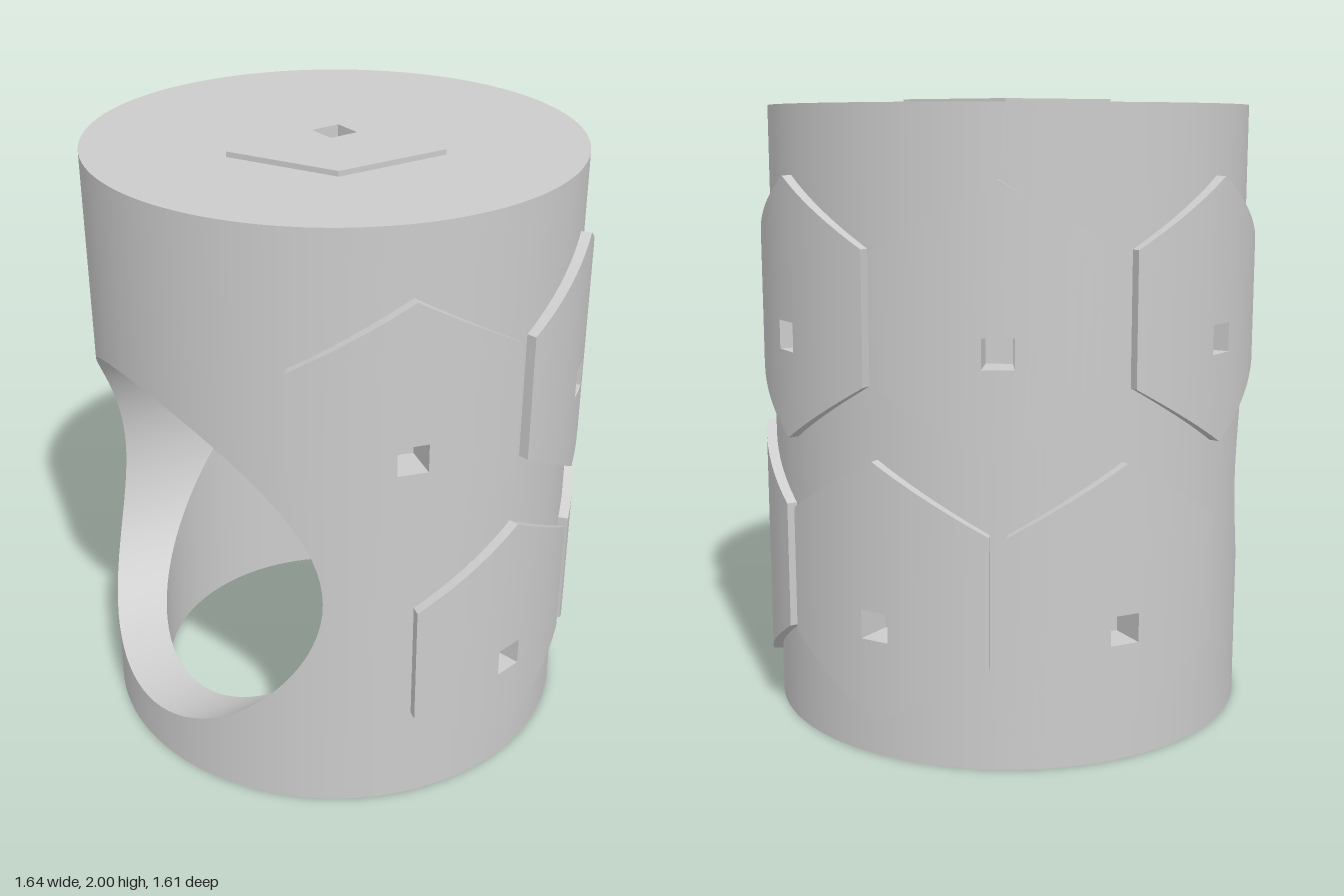
import * as THREE from 'three';
import { toCreasedNormals } from 'three/addons/utils/BufferGeometryUtils.js';

const RO = 0.787, RI = 0.615, RT = 0.82, FLOOR = 0.7; // body, bore, tile face, pocket floor
const H = 1.983, CEIL = 1.81;                         // body height, bore ceiling
const DOOR_R = 0.615, DOOR_Y = 0.775, DOOR_SEGS = 96;
const HEX = 0.407, SQ = 0.046;                        // tile circumradius, pocket half size
const rad = THREE.MathUtils.degToRad;
const HALF = HEX * Math.cos(Math.PI / 6) / RO, SQ_A = SQ / RO;

// Tiles: angle round the body from the front, centre height, pocket height
const tiles = [
  ...[70, 125, 180, 235, 290].map(d => ({ a: rad(d), y: 1.362, py: 1.277 })),
  ...[97.5, 152.5, 207.5, 262.5].map(d => ({ a: rad(d), y: 0.532, py: 0.428 })),
];

const material = new THREE.MeshStandardMaterial({ color: 0xcccccc });
const P = (r, a, y) => [r * Math.sin(a), y, r * Math.cos(a)];
const quad = (out, a, b, c, d) => out.push(...a, ...b, ...c, ...a, ...c, ...d);

function toMesh(name, out) {
  const g = new THREE.BufferGeometry();
  g.setAttribute('position', new THREE.Float32BufferAttribute(out, 3));
  return named(name, toCreasedNormals(g, 0.5));
}

function named(name, geometry) {
  const m = new THREE.Mesh(geometry, material);
  m.name = name;
  return m;
}

function columns(list) {
  return list.sort((a, b) => a - b).filter((a, i, s) => i === 0 || a - s[i - 1] > 1e-5);
}

// Curved skin in vertical strips, leaving out the gaps
function skin(out, r, cols, lo, hi, gaps, flip = false) {
  for (let i = 0; i + 1 < cols.length; i++) {
    const a = cols[i], b = cols[i + 1], m = (a + b) / 2;
    const cuts = gaps.filter(g => m > g.a0 && m < g.a1).sort((g, h) => g.lo(m) - h.lo(m));
    const bounds = [lo, ...cuts.flatMap(g => [g.lo, g.hi]), hi];
    for (let k = 0; k < bounds.length; k += 2) {
      const f = bounds[k], t = bounds[k + 1];
      const c = [P(r, a, f(a)), P(r, b, f(b)), P(r, b, t(b)), P(r, a, t(a))];
      quad(out, ...(flip ? c.reverse() : c));
    }
  }
}

// Radial wall along one outline edge; counter-clockwise outlines face outward
function wall(out, a0, y0, a1, y1, rOut, rIn) {
  quad(out, P(rOut, a1, y1), P(rOut, a0, y0), P(rIn, a0, y0), P(rIn, a1, y1));
}

const squareGap = (a, y) => ({ a0: a - SQ_A, a1: a + SQ_A, lo: () => y - SQ, hi: () => y + SQ });

function doorGap(r) {
  const a1 = Math.asin(DOOR_R / r);
  const half = a => Math.sqrt(Math.max(0, DOOR_R ** 2 - (r * Math.sin(a)) ** 2));
  const cols = [];
  for (let i = 0; i <= DOOR_SEGS / 2; i++) {
    cols.push(Math.asin(DOOR_R * Math.cos(i * 2 * Math.PI / DOOR_SEGS) / r));
  }
  return { a0: -a1, a1, lo: a => DOOR_Y - half(a), hi: a => DOOR_Y + half(a), cols };
}

function bodyWall(r, height, gaps, flip) {
  const out = [], door = doorGap(r), cols = [...door.cols];
  for (let d = -180; d <= 180; d += 3) {
    if (Math.abs(rad(d)) > door.a1) cols.push(rad(d));
  }
  gaps.forEach(g => cols.push(g.a0, g.a1));
  skin(out, r, columns(cols), () => 0, () => height, [door, ...gaps], flip);
  return out;
}

// Straight round passage through the front wall
function doorway() {
  const out = [];
  const at = (r, i) => {
    const t = i * 2 * Math.PI / DOOR_SEGS, x = DOOR_R * Math.cos(t);
    return [x, DOOR_Y + DOOR_R * Math.sin(t), Math.sqrt(Math.max(0, r * r - x * x))];
  };
  for (let i = 0; i < DOOR_SEGS; i++) {
    quad(out, at(RO, i), at(RO, i + 1), at(RI, i + 1), at(RI, i));
  }
  return out;
}

// Hexagonal tile wrapped round the body, with a square pocket
function sideTile(t) {
  const out = [], gap = squareGap(0, t.py), cols = [gap.a0, gap.a1];
  for (let i = -9; i <= 9; i++) cols.push(i * HALF / 9);
  const c = columns(cols);
  const reach = a => HEX - Math.abs(a) * RO * Math.tan(Math.PI / 6);
  const lo = a => t.y - reach(a), hi = a => t.y + reach(a);
  skin(out, RT, c, lo, hi, [gap]);
  for (let i = 0; i + 1 < c.length; i++) {
    const a = c[i], b = c[i + 1];
    wall(out, a, lo(a), b, lo(b), RT, RO - 0.005);
    wall(out, b, hi(b), a, hi(a), RT, RO - 0.005);
  }
  wall(out, HALF, lo(HALF), HALF, hi(HALF), RT, RO - 0.005);
  wall(out, -HALF, hi(HALF), -HALF, lo(HALF), RT, RO - 0.005);
  // Pocket sides and floor
  const y0 = t.py - SQ, y1 = t.py + SQ;
  const s = [[-SQ_A, y0], [SQ_A, y0], [SQ_A, y1], [-SQ_A, y1]];
  s.forEach((p, k) => wall(out, ...s[(k + 1) % 4], ...p, RT, FLOOR));
  quad(out, ...s.map(p => P(FLOOR, ...p)));
  const m = toMesh('sideTile', out);
  m.rotation.y = t.a;
  return m;
}

const TOP_SQ = 0.05;
const squareCorners = [[-1, -1], [1, -1], [1, 1], [-1, 1]].map(([x, y]) => [x * TOP_SQ, y * TOP_SQ]);
function withSquareHole(shape) {
  shape.holes.push(new THREE.Path(squareCorners.map(p => new THREE.Vector2(...p)).reverse()));
  return shape;
}

function topPocket() {
  const out = [], c = (k, y) => [squareCorners[k % 4][0], y, -squareCorners[k % 4][1]];
  const low = H - 0.1;
  for (let k = 0; k < 4; k++) quad(out, c(k, H), c(k + 1, H), c(k + 1, low), c(k, low));
  quad(out, c(0, low), c(1, low), c(2, low), c(3, low));
  return out;
}

export function createModel() {
  const model = new THREE.Group();
  const body = new THREE.Group();
  body.name = 'body';
  body.position.z = 0.018;
  model.add(body);

  // Hollow drum
  const pockets = tiles.map(t => squareGap(t.a > Math.PI + 0.1 ? t.a - 2 * Math.PI : t.a, t.py));
  const back = pockets.find(g => g.a1 > Math.PI);
  pockets.push({ ...back, a0: back.a0 - 2 * Math.PI, a1: back.a1 - 2 * Math.PI });
  // Split the rear pocket at the seam
  for (const g of pockets) {
    g.a0 = Math.max(g.a0, -Math.PI);
    g.a1 = Math.min(g.a1, Math.PI);
  }
  body.add(toMesh('outerWall', bodyWall(RO, H, pockets, false)));
  body.add(toMesh('innerWall', bodyWall(RI, CEIL, [], true)));
  body.add(toMesh('doorway', doorway()));
  body.add(named('bottomRim', new THREE.RingGeometry(RI, RO, 120).rotateX(Math.PI / 2)));
  body.add(named('ceiling', new THREE.CircleGeometry(RI, 120).rotateX(Math.PI / 2).translate(0, CEIL, 0)));

  // Top with its flat tile
  const disc = withSquareHole(new THREE.Shape().absarc(0, 0, RO, 0, Math.PI * 2));
  body.add(named('top', new THREE.ShapeGeometry(disc, 60).rotateX(-Math.PI / 2).translate(0, H, 0)));
  const hex = [];
  for (let k = 0; k < 6; k++) {
    const a = rad(85.9 + 60 * k);
    hex.push(new THREE.Vector2(0.38 * Math.cos(a), 0.38 * Math.sin(a)));
  }
  const tile = new THREE.ExtrudeGeometry(withSquareHole(new THREE.Shape(hex)), { depth: 0.017, bevelEnabled: false });
  body.add(named('topTile', tile.rotateX(-Math.PI / 2).translate(0, H, 0)));
  body.add(toMesh('topPocket', topPocket()));

  // Wrapped tiles
  tiles.forEach(t => body.add(sideTile(t)));
  return model;
}
